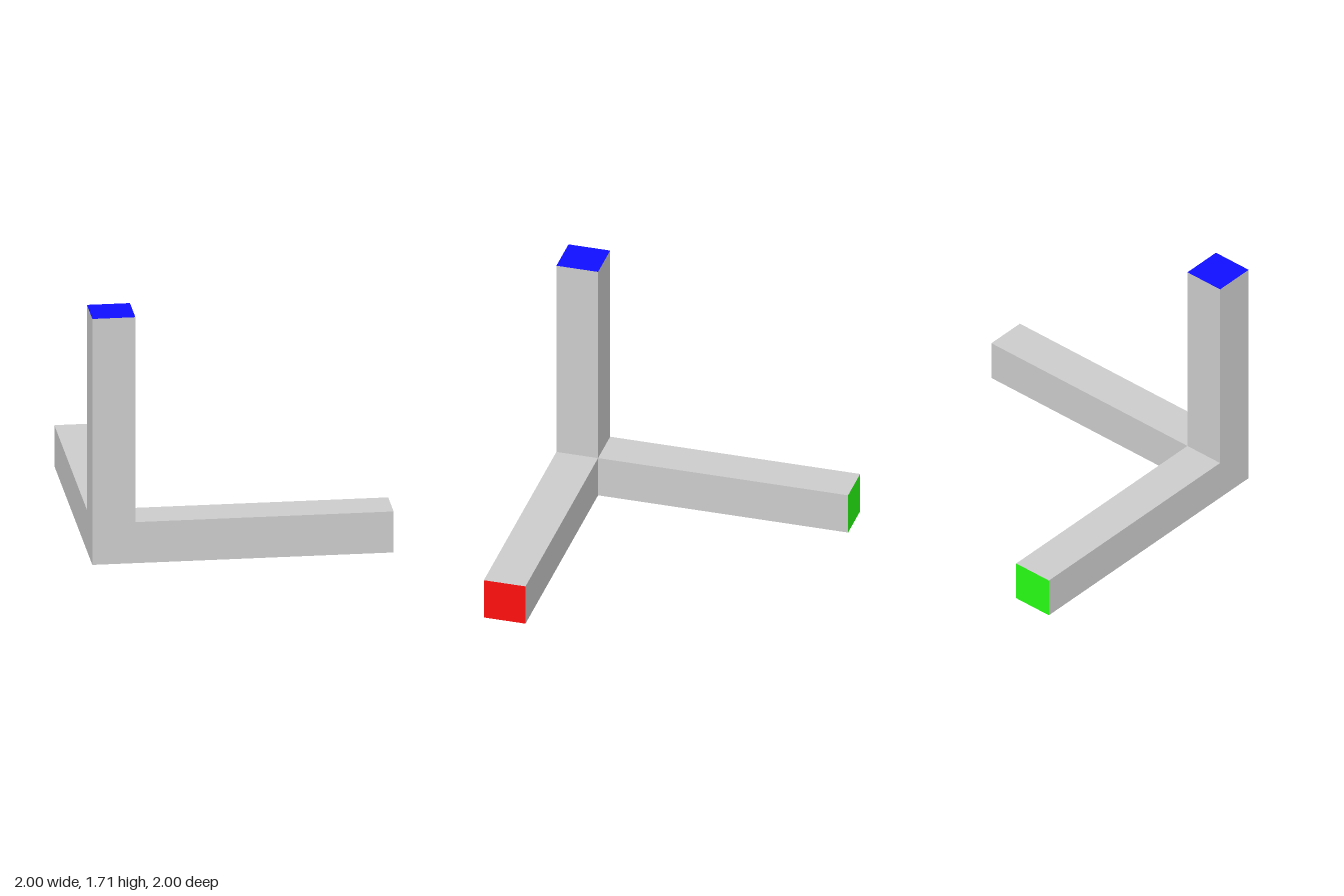
import * as THREE from 'three';

const T = 2 / 7;        // bar thickness
const LENGTH = 2;       // horizontal arms, including the corner
const HEIGHT = 12 / 7;  // upright arm, including the corner

// Box face order
const PX = 0, NX = 1, PY = 2, NY = 3, PZ = 4, NZ = 5;

// A box between two corners, keeping only the listed faces
function boxFaces(name, min, max, faces, color = 0xcccccc) {
  const size = max.map((v, i) => v - min[i]);
  const geometry = new THREE.BoxGeometry(...size);
  const index = Array.from(geometry.index.array);
  geometry.setIndex(faces.flatMap((f) => index.slice(f * 6, f * 6 + 6)));
  geometry.clearGroups();
  const mesh = new THREE.Mesh(geometry, new THREE.MeshStandardMaterial({ color }));
  mesh.position.set(...max.map((v, i) => (v + min[i]) / 2));
  mesh.name = name;
  return mesh;
}

export function createModel() {
  const model = new THREE.Group();
  model.name = 'threeAxisCorner';

  // Corner block where the arms meet: outer faces only
  const a = -1 + T, b = 1 - T;
  model.add(boxFaces('cornerBlock', [-1, 0, b], [a, T, 1], [NX, NY, PZ]));

  // Square arms running out of the corner, each with a coloured end
  const arms = [
    { name: 'sideArm', min: [a, 0, b], max: [-1 + LENGTH, T, 1], end: PX, color: 0xff0f0f },
    { name: 'uprightArm', min: [-1, T, b], max: [a, HEIGHT, 1], end: PY, color: 0x0f0fff },
    { name: 'backArm', min: [-1, 0, 1 - LENGTH], max: [a, T, b], end: NZ, color: 0x28ff14 },
  ];
  for (const { name, min, max, end, color } of arms) {
    const arm = new THREE.Group();
    arm.name = name;
    const sides = [PX, NX, PY, NY, PZ, NZ].filter((f) => f >> 1 !== end >> 1);
    arm.add(boxFaces(name + 'Bar', min, max, sides));
    arm.add(boxFaces(name + 'End', min, max, [end], color));
    model.add(arm);
  }
  return model;
}
